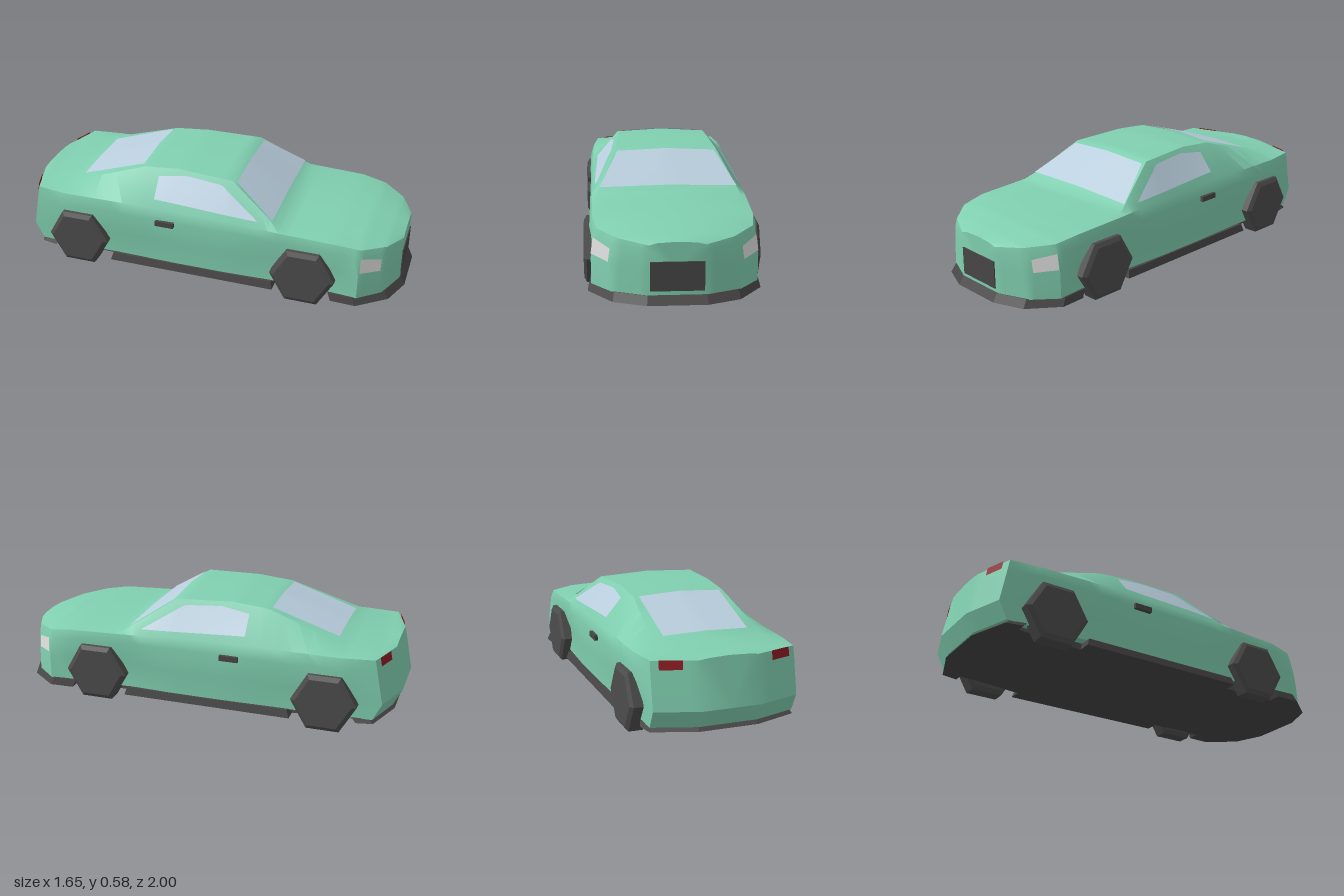
import * as THREE from 'three';
import { toCreasedNormals } from 'three/addons/utils/BufferGeometryUtils.js';

const mat = (name, color, open) => {
  const m = new THREE.MeshStandardMaterial({ color });
  m.name = name;
  if (open) m.side = THREE.DoubleSide;
  return m;
};
const lerp = THREE.MathUtils.lerp;
const clamp = THREE.MathUtils.clamp;

// Body stations, nose to tail: z, sill w, mid w y, shoulder w y, belt w y, roof edge w y, crown y
const STATIONS = [
  [1.03, .14, .14, .2, .14, .29, .13, .31, .09, .32, .325],
  [.965, .30, .293, .2, .28, .29, .265, .325, .18, .338, .345],
  [.85, .395, .393, .2, .38, .295, .365, .34, .25, .362, .37],
  [.72, .385, .375, .2, .40, .31, .385, .36, .27, .373, .38],
  [.43, .375, .37, .2, .40, .32, .39, .372, .365, .38, .387],
  [.15, .385, .388, .2, .40, .33, .385, .385, .265, .56, .573],
  [-.15, .385, .388, .2, .40, .33, .385, .39, .245, .57, .58],
  [-.34, .38, .385, .2, .405, .33, .39, .395, .245, .553, .567],
  [-.75, .37, .37, .18, .405, .33, .385, .39, .28, .418, .425],
  [-.92, .365, .365, .16, .365, .33, .363, .392, .25, .398, .402],
  [-.99, .15, .15, .16, .15, .33, .148, .392, .1, .398, .402],
];

// Half cross-section at z, from floor centre up to crown, as [w, y]
function section(z) {
  let i = 0;
  while (i < STATIONS.length - 2 && z < STATIONS[i + 1][0]) i++;
  const A = STATIONS[i], B = STATIONS[i + 1];
  const t = clamp((A[0] - z) / (A[0] - B[0]), 0, 1);
  const s = A.map((a, k) => lerp(a, B[k], t));
  return [[0, .07], [s[1], .07], [s[2], s[3]], [s[4], s[5]], [s[6], s[7]], [s[8], s[9]], [0, s[10]]];
}
// Half width of the body side at a given height
function widthAt(z, y) {
  const p = section(z);
  for (let k = 1; k < 6; k++) {
    if (y <= p[k + 1][1]) return lerp(p[k][0], p[k + 1][0], (y - p[k][1]) / (p[k + 1][1] - p[k][1]));
  }
  return 0;
}
// Height of the upper surface at a given half width
function heightAt(z, x) {
  const p = section(z), w = Math.abs(x);
  const k = w > p[5][0] ? 4 : 5;
  return lerp(p[k + 1][1], p[k][1], (w - p[k + 1][0]) / (p[k][0] - p[k + 1][0]));
}
// The tail swells outwards at bumper height
function bulged(z, y) {
  const b = y > .16 ? clamp((.392 - y) / .232, 0, 1) : clamp((y - .07) / .09, 0, 1);
  return z - .045 * b * clamp((-.75 - z) / .17, 0, 1);
}

// Surface through rows of points
function skin(rows) {
  const n = rows[0].length, index = [];
  for (let i = 0; i < rows.length - 1; i++) {
    for (let j = 0; j < n - 1; j++) {
      const a = i * n + j, b = a + n;
      index.push(a, b, a + 1, b, b + 1, a + 1);
    }
  }
  const g = new THREE.BufferGeometry();
  g.setAttribute('position', new THREE.Float32BufferAttribute(rows.flat(2), 3));
  g.setIndex(index);
  g.computeVertexNormals();
  return g;
}
const patch = (nu, nv, f) => skin(Array.from({ length: nu + 1 }, (_, i) =>
  Array.from({ length: nv + 1 }, (_, j) => f(i / nu, j / nv))));

function bodyGeometry() {
  const rows = [];
  const ring = z => {
    const p = section(z), q = p.slice(0, 6).reverse().map(([w, y]) => [-w, y]);
    return [...p, ...q].map(([w, y]) => [w, y, bulged(z, y)]);
  };
  STATIONS.forEach((s, i) => {
    const next = STATIONS[i + 1];
    const steps = next ? 5 : 1;
    for (let k = 0; k < steps; k++) rows.push(ring(next ? lerp(s[0], next[0], k / steps) : s[0]));
  });
  // close the nose and the tail
  rows.unshift(rows[0].map(() => [0, .2, 1.03]));
  rows.push(rows[0].map(() => [0, .16, -1.035]));
  return toCreasedNormals(skin(rows), .6);
}

// Floor and sill in one flared slab, notched around the wheels
function floorGeometry() {
  const half = [[.14, 1.06], [.295, 1], [.41, .85], [.405, .72], [.335, .72], [.335, .41], [.405, .41],
    [.405, -.5], [.335, -.5], [.335, -.84], [.385, -.84], [.368, -.925], [.15, -1]];
  const outline = [...half, ...half.slice().reverse().map(([x, z]) => [-x, z])];
  const shape = new THREE.Shape(outline.map(([x, z]) => new THREE.Vector2(x, -z)));
  const g = new THREE.ExtrudeGeometry(shape, { depth: .04, bevelEnabled: false });
  g.rotateX(-Math.PI / 2).translate(0, .032, 0);
  const p = g.attributes.position;
  for (let i = 0; i < p.count; i++) {
    if (p.getY(i) > .05) p.setXYZ(i, p.getX(i) * .975, p.getY(i), p.getZ(i) * .975);
    else if (p.getZ(i) < -.55) p.setY(i, .05);
  }
  g.computeVertexNormals();
  return g;
}

// Six-sided wheel with chamfered rims, axle along x
function wheelGeometry() {
  const profile = [[0, -.05], [.145, -.05], [.17, -.036], [.17, .036], [.145, .05], [0, .05]];
  const g = new THREE.LatheGeometry(profile.map(([r, h]) => new THREE.Vector2(r, h)), 6).toNonIndexed();
  g.rotateZ(-Math.PI / 2);
  g.computeVertexNormals();
  return g;
}

export function createModel() {
  const paint = mat('green paint', 0x80cfb0);
  const glass = mat('pale glass', 0xb9cedd, true);
  const dark = mat('dark trim', 0x484646);
  const rubber = mat('wheel grey', 0x4c4c4c);
  const lamp = mat('white lamp', 0xe0e0e0, true);
  const red = mat('red lamp', 0x8e1c22, true);

  const model = new THREE.Group();
  model.name = 'car';
  const car = new THREE.Group();
  car.name = 'turnedCar';
  car.rotation.y = .588;
  model.add(car);
  const add = (name, geometry, material, x = 0, y = 0, z = 0) => {
    const m = new THREE.Mesh(geometry, material);
    m.name = name;
    m.position.set(x, y, z);
    car.add(m);
    return m;
  };

  add('body', bodyGeometry(), paint);
  add('floor', floorGeometry(), dark);
  add('grille', new THREE.BoxGeometry(.25, .14, .009), dark, 0, .162, 1.031);

  // Front and rear screens
  const screen = (z0, z1, w0, w1) => patch(12, 12, (u, v) => {
    const z = lerp(z0, z1, u), x = lerp(-1, 1, v) * lerp(w0, w1, u);
    return [x, heightAt(z, x) + .006, z];
  });
  add('windshield', screen(.172, .388, .255, .35), glass);
  add('rearWindow', screen(-.708, -.357, .22, .22), glass);

  // Upper edge of the side window
  const windowTop = z => {
    const pts = [[-.25, .525], [-.1, .547], [.1, .535], [.31, .408]];
    const k = z < -.1 ? 0 : z < .1 ? 1 : 2;
    return lerp(pts[k][1], pts[k + 1][1], (z - pts[k][0]) / (pts[k + 1][0] - pts[k][0]));
  };

  for (const s of [1, -1]) {
    const side = s > 0 ? 'left' : 'right';
    add(side + 'SideWindow', patch(28, 6, (u, v) => {
      const z = lerp(.31, -.25, u);
      const y = lerp(lerp(.405, .43, u), windowTop(z), v);
      return [s * (widthAt(z, y) + .006), y + .003, z];
    }), glass);
    add(side + 'Headlight', patch(6, 4, (u, v) => {
      const z = lerp(.945, .852, u);
      const y = lerp(lerp(.208, .22, u), lerp(.272, .298, u), v);
      return [s * (widthAt(z, y) + .005), y, z + .004];
    }), lamp);
    add(side + 'TailLight', patch(6, 4, (u, v) => {
      const z = lerp(-.932, -.966, u), y = lerp(.348, .392, v);
      return [s * (widthAt(z, y) + .002), y + .003, bulged(z, y) - .006];
    }), red);
    add(side + 'DoorHandle', new THREE.BoxGeometry(.025, .028, .1), dark, s * .405, .32, -.178);
    for (const [end, z] of [['Front', .566], ['Rear', -.678]]) {
      add(side + end + 'Wheel', wheelGeometry(), rubber, s * .38, .1475, z);
    }
  }
  return model;
}
